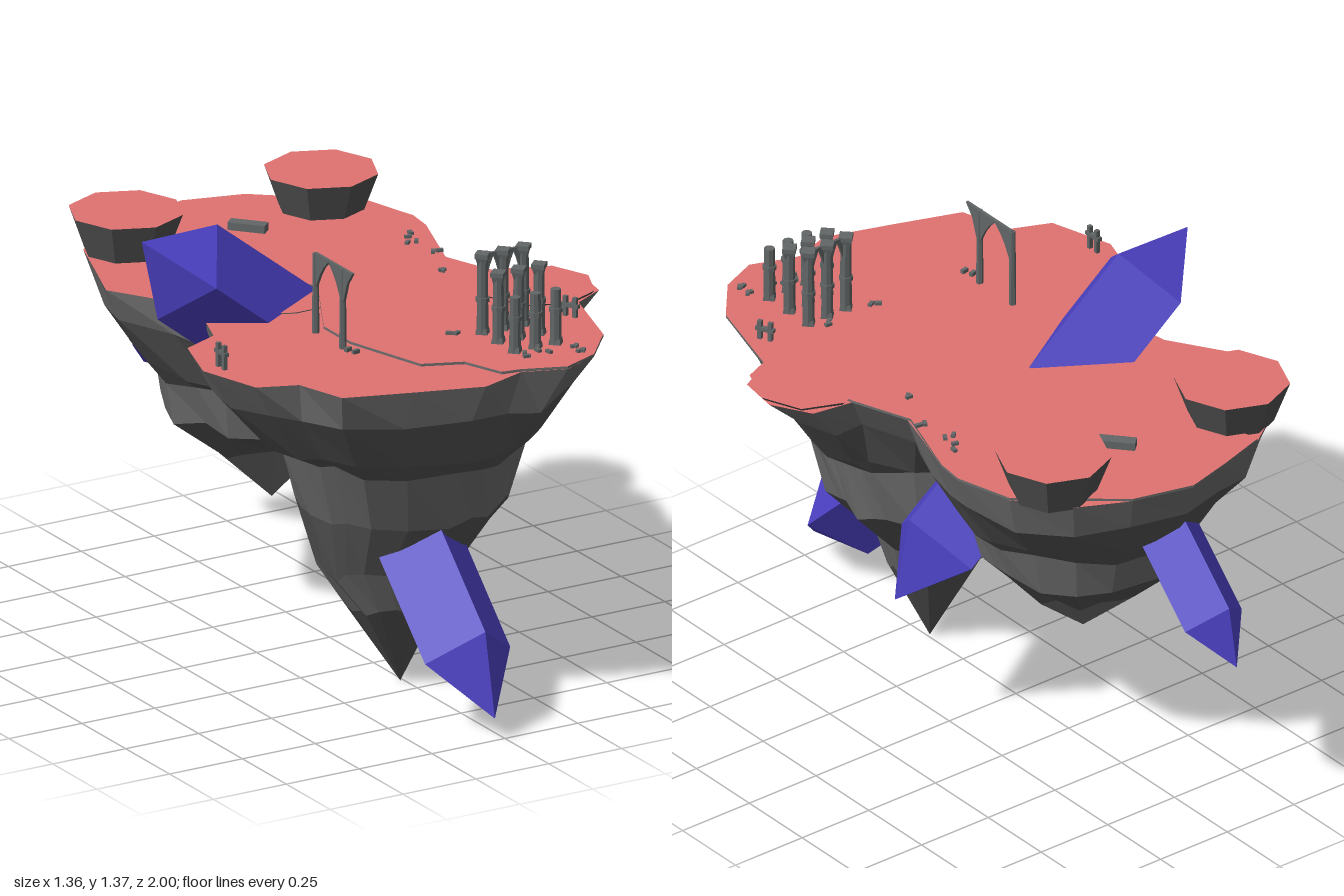
import * as THREE from 'three';

const mat = (name, color) => {
  const m = new THREE.MeshStandardMaterial({ color, flatShading: true });
  m.name = name;
  return m;
};

export function createModel() {
  const root = new THREE.Group();
  const grass = mat('red ground', 0xe07270);
  const rockA = mat('light rock', 0x6c6c6c);
  const rockB = mat('dark rock', 0x525252);
  const gem = mat('violet crystal', 0x4c41c4);
  const stone = mat('ruin stone', 0x626666);

  let seed = 7;
  const rnd = () => (seed = (seed * 16807) % 2147483647) / 2147483647;
  const add = (name, geo, material, x = 0, y = 0, z = 0, parent = root) => {
    const m = new THREE.Mesh(geo, material);
    m.name = name;
    m.position.set(x, y, z);
    parent.add(m);
    return m;
  };

  // Rock lobe: ground outline blended ring by ring into ellipses, ending in a point.
  // Rings are [y, centre x, centre z, radius x, radius z, outline share];
  // bands gives the material of each strip (1 light, 2 dark).
  function lobe(name, outline, topY, c, rings, tip, bands) {
    const n = outline.length;
    const levels = [outline.map(([x, z]) => [x, topY(x), z])];
    for (const [y, cx, cz, rx, rz, k] of rings) {
      levels.push(outline.map(([x, z]) => {
        const a = Math.atan2(z - c[1], x - c[0]);
        const r = 1 + (rnd() - 0.5) * 0.05;
        const ex = cx + Math.cos(a) * rx * r, ez = cz + Math.sin(a) * rz * r;
        return [ex + (x - ex) * k, y + (rnd() - 0.5) * 0.04, ez + (z - ez) * k];
      }));
    }
    levels.push(outline.map(() => tip));
    const pos = [], geo = new THREE.BufferGeometry();
    const tri = (...p) => p.forEach(v => pos.push(...v));
    const group = (material, fill) => {
      const start = pos.length / 3;
      fill();
      geo.addGroup(start, pos.length / 3 - start, material);
    };
    const mid = [c[0], topY(c[0]), c[1]];
    group(0, () => {
      for (let i = 0; i < n; i++) tri(mid, levels[0][(i + 1) % n], levels[0][i]);
    });
    bands.forEach((band, l) => group(band, () => {
      for (let i = 0; i < n; i++) {
        const j = (i + 1) % n, a = levels[l], b = levels[l + 1];
        tri(a[i], a[j], b[i]);
        if (b[i] !== tip) tri(a[j], b[j], b[i]);
      }
    }));
    geo.setAttribute('position', new THREE.Float32BufferAttribute(pos, 3));
    geo.computeVertexNormals();
    add(name, geo, [grass, rockA, rockB]);
  }

  lobe('frontIsland', [
    [0.48, 0.17], [0.61, 0.19], [0.68, 0.31], [0.66, 0.44], [0.55, 0.5], [0.5, 0.66], [0.47, 0.78],
    [0.36, 0.91], [0.24, 0.96], [0.11, 0.91], [-0.04, 0.96], [-0.25, 0.89], [-0.45, 0.82], [-0.5, 0.66],
    [-0.62, 0.61], [-0.68, 0.41], [-0.62, 0.22], [-0.5, 0.17], [-0.44, 0.0], [-0.2, -0.1], [0.15, -0.1], [0.4, 0.0],
  ], x => 1.098 + 0.006 * x, [0, 0.4], [
    [0.97, -0.05, 0.42, 0.47, 0.46, 0.45],
    [0.82, -0.02, 0.42, 0.41, 0.4, 0.1],
    [0.77, -0.01, 0.42, 0.37, 0.36, 0],
    [0.57, 0.01, 0.39, 0.31, 0.31, 0],
    [0.39, -0.05, 0.4, 0.21, 0.2, 0],
    [0.27, -0.03, 0.42, 0.15, 0.14, 0],
  ], [-0.01, 0, 0.42], [1, 2, 2, 1, 2, 1, 2]);

  lobe('backIsland', [
    [0.41, 0.0], [0.2, 0.14], [-0.2, 0.14], [-0.44, 0.02], [-0.46, -0.12], [-0.58, -0.31], [-0.51, -0.5],
    [-0.46, -0.64], [-0.32, -0.74], [-0.16, -0.79], [-0.01, -0.83], [0.18, -0.78], [0.34, -0.7],
    [0.46, -0.55], [0.51, -0.37], [0.5, -0.28], [0.45, -0.13],
  ], () => 1.1, [-0.02, -0.3], [
    [0.98, -0.03, -0.3, 0.45, 0.44, 0.55],
    [0.84, -0.03, -0.3, 0.39, 0.38, 0.1],
    [0.79, -0.03, -0.29, 0.35, 0.34, 0],
    [0.66, -0.03, -0.29, 0.32, 0.31, 0],
    [0.54, -0.03, -0.3, 0.19, 0.17, 0],
  ], [-0.03, 0.36, -0.28], [1, 2, 2, 1, 2, 1]);

  // Slightly raised ground on the left half
  const upper = new THREE.Shape([
    [-0.32, -0.74], [-0.25, -0.45], [-0.04, 0], [-0.2, 0.3], [-0.2, 0.45], [-0.12, 0.72], [0, 0.77], [0.05, 0.9],
    [0.11, 0.91], [0.24, 0.96], [0.36, 0.91], [0.47, 0.78], [0.55, 0.5], [0.48, 0.17], [0.41, -0.02], [0.5, -0.28],
    [0.51, -0.37], [0.46, -0.55], [0.18, -0.78], [-0.01, -0.83], [-0.16, -0.79],
  ].map(([x, z]) => new THREE.Vector2(x, -z)));
  add('raisedGround', new THREE.ExtrudeGeometry(upper, { depth: 0.008, bevelEnabled: false }), [grass, rockA], 0, 1.1)
    .rotation.x = -Math.PI / 2;

  // Octagonal outcrops with flat ground on top; the side one barely rises above the ground
  for (const [x, z, top, h, base] of [
    [-0.35, -0.58, 1.222, 0.13, 0.125], [0.32, -0.58, 1.222, 0.13, 0.125], [0.51, 0.34, 1.113, 0.015, 0.16],
  ])
    add('outcrop', new THREE.CylinderGeometry(0.173, base, h, 8), [rockB, grass, rockB], x, top - h / 2, z);

  // Four-sided crystals; axis points at the tip, ridge gives the direction of one long edge
  function crystal(center, axis, ridge, r, body, total) {
    const pts = [[0, -total], [r, -body], [r, body], [0, total]].map(p => new THREE.Vector2(...p));
    const m = add('crystal', new THREE.LatheGeometry(pts, 4), gem, ...center);
    const y = new THREE.Vector3(...axis).normalize(), z = new THREE.Vector3(...ridge).normalize();
    m.quaternion.setFromRotationMatrix(new THREE.Matrix4().makeBasis(y.clone().cross(z), y, z));
  }
  crystal([-0.095, 0.928, 0], [0.785, -0.62, 0], [0.62, 0.785, 0], 0.165, 0.5, 0.7);
  crystal([-0.035, 0.415, 0.64], [0, -0.69, 0.72], [0, 0.72, 0.69], 0.146, 0.285, 0.5);
  crystal([-0.035, 0.77, -0.78], [0, -0.7, -0.714], [0, 0.714, -0.7], 0.106, 0.155, 0.31);

  // Temple: three rows of columns, lower towards the front
  const Y = 1.105;
  const column = (x, z, h, capped) => {
    const g = new THREE.Group();
    g.name = 'column';
    g.position.set(x, Y, z);
    root.add(g);
    const disc = (name, rt, rb, hh, y, sides) =>
      add(name, new THREE.CylinderGeometry(rt, rb, hh, sides), stone, 0, y, 0, g);
    disc('base', 0.022, 0.026, 0.02, 0.01, 4);
    disc('shaft', 0.016, 0.018, h, h / 2, 8);
    disc('collar', 0.021, 0.021, 0.014, 0.11, 8);
    if (capped) {
      disc('capital', 0.026, 0.016, 0.03, h - 0.025, 4);
      disc('abacus', 0.028, 0.028, 0.014, h - 0.007, 4);
    }
  };
  const xs = [0.17, 0.24, 0.31];
  for (const x of xs) {
    column(x, 0.59, 0.255, true);
    column(x, 0.68, 0.225, true);
    column(x, 0.775, 0.175, false);
  }

  // Pointed arch plate spanning width w, hanging from the top edge
  const arch = (w, h) => {
    const s = new THREE.Shape();
    s.moveTo(-w / 2, 0);
    s.quadraticCurveTo(-w * 0.36, h * 0.6, 0, h * 0.95);
    s.quadraticCurveTo(w * 0.36, h * 0.6, w / 2, 0);
    s.lineTo(w / 2, h);
    s.lineTo(-w / 2, h);
    return new THREE.ExtrudeGeometry(s, { depth: 0.009, bevelEnabled: false, curveSegments: 4 });
  };
  for (const x of [0.205, 0.275]) add('templeArch', arch(0.07, 0.15), stone, x, 1.207, 0.586);

  // Freestanding broken arcade
  for (const z of [0.315, 0.47])
    add('arcadePost', new THREE.CylinderGeometry(0.009, 0.011, 0.25, 6), stone, -0.237, Y + 0.12, z);
  add('arcadeArch', arch(0.155, 0.13), stone, -0.241, 1.222, 0.393).rotation.y = Math.PI / 2;
  const broken = new THREE.Shape([[0, 0], [0, 0.13], [0.06, 0.13], [0.03, 0.09]].map(p => new THREE.Vector2(...p)));
  add('brokenArch', new THREE.ExtrudeGeometry(broken, { depth: 0.009, bevelEnabled: false }), stone, -0.232, 1.222, 0.47)
    .rotation.y = -Math.PI / 2;

  // Small gates
  for (const [x, z, turn] of [[-0.62, 0.415, 0], [0.465, 0.6, 0.45]]) {
    const g = new THREE.Group();
    g.name = 'gate';
    g.position.set(x, 1.095, z);
    g.rotation.y = turn;
    root.add(g);
    for (const s of [-1, 1]) add('gatePost', new THREE.BoxGeometry(0.013, 0.075, 0.013), stone, 0, 0.037, s * 0.017, g);
    add('gateBeam', new THREE.BoxGeometry(0.015, 0.012, 0.06), stone, 0, 0.048, 0, g);
  }

  // Stone block and scattered rubble
  add('stoneBlock', new THREE.BoxGeometry(0.115, 0.024, 0.038), stone, 0.03, 1.12, -0.515).rotation.y = -0.85;
  const heaps = [[0.41, -0.22], [0.39, -0.16], [0.405, -0.06], [0.325, 0.07], [0.09, 0.54], [0.17, 0.82],
    [0.24, 0.82], [0.33, 0.86], [0.35, 0.83], [0.27, 0.55], [-0.235, 0.52]];
  for (const [x, z] of heaps)
    for (let i = 0; i < 2; i++)
      add('rubble', new THREE.BoxGeometry(0.012, 0.012, 0.022), stone,
        x + (rnd() - 0.5) * 0.04, 1.111, z + (rnd() - 0.5) * 0.04).rotation.y = rnd() * 3;

  return root;
}
